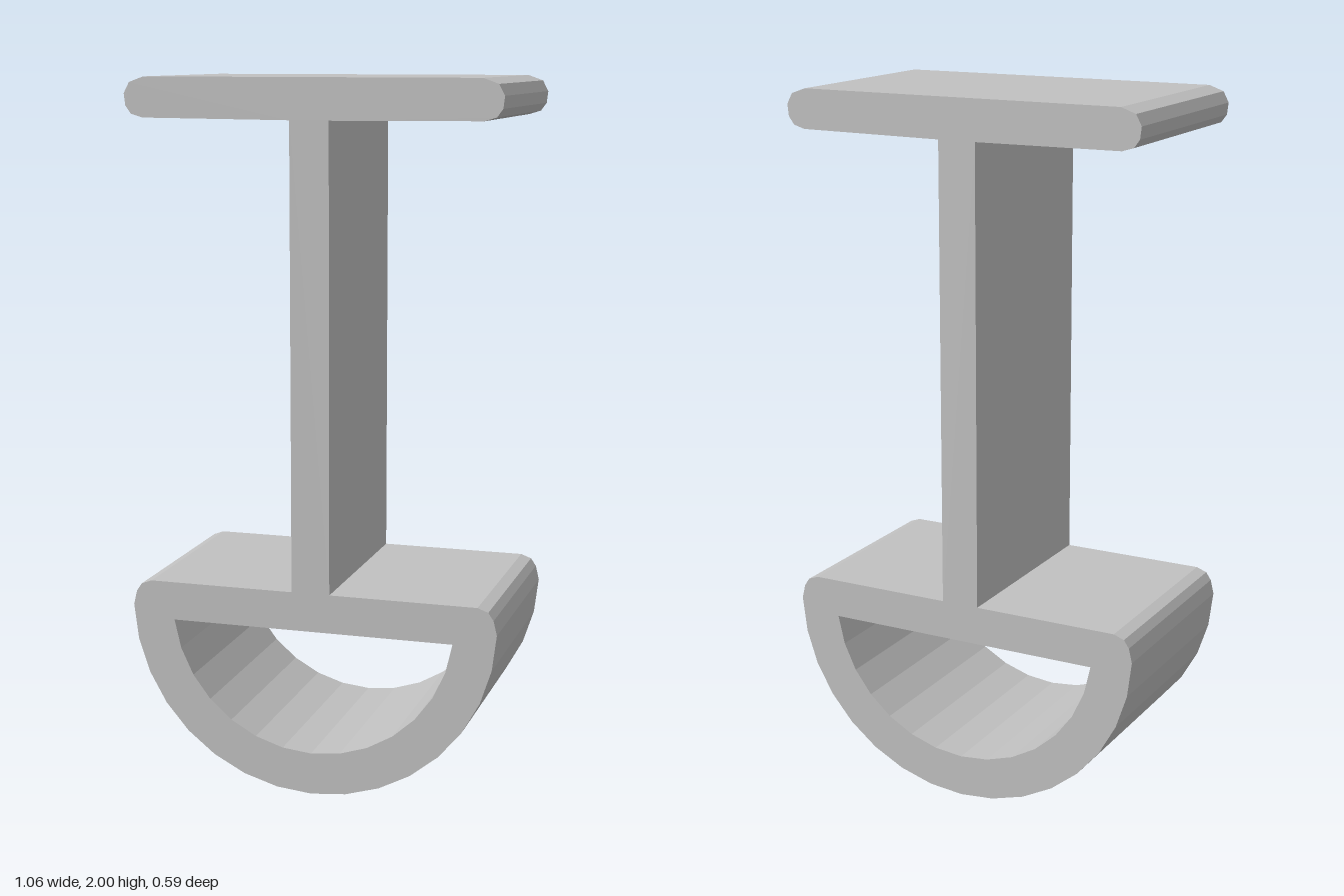
import * as THREE from 'three';

const DEPTH = 0.59;
const CENTER_Y = 0.53; // centre of the round trough

// Points on the lower arc, going clockwise-free from right (+x) to left through the bottom
function lowerArc(radius, startAngle, steps) {
  const points = [];
  for (let i = 0; i <= steps; i++) {
    const a = -startAngle - (Math.PI - 2 * startAngle) * (i / steps);
    points.push(new THREE.Vector2(Math.cos(a) * radius, CENTER_Y + Math.sin(a) * radius));
  }
  return points;
}

// Right half of the outline above the trough, from bottom to top
const rightHalf = [
  [0.52, 0.555], [0.505, 0.577], [0.475, 0.588], // trough shoulder
  [0.055, 0.588], [0.055, 1.887],                // web
  [0.475, 1.89], [0.508, 1.9], [0.524, 1.922],   // rounded end of the top plate
  [0.528, 1.955], [0.512, 1.985], [0.47, 2.0],
].map(([x, y]) => new THREE.Vector2(x, y));

export function createModel() {
  const group = new THREE.Group();
  group.name = 'bracket';

  const grey = new THREE.MeshStandardMaterial({ color: 0xc0c0c0 });
  grey.name = 'light grey';

  // Whole outline: right side up, mirrored left side down, then the round bottom
  const leftHalf = rightHalf.map((p) => new THREE.Vector2(-p.x, p.y)).reverse();
  const bottom = lowerArc(0.53, 0.03, 16).reverse();
  const profile = new THREE.Shape([...rightHalf, ...leftHalf, ...bottom]);

  // Half-round opening, closed by its flat top edge
  profile.holes.push(new THREE.Path(lowerArc(0.41, 0.127, 14)));

  const geometry = new THREE.ExtrudeGeometry(profile, { depth: DEPTH, bevelEnabled: false });
  geometry.translate(0, 0, -DEPTH / 2);

  const beam = new THREE.Mesh(geometry, grey);
  beam.name = 'beamWithTrough';
  group.add(beam);
  return group;
}
